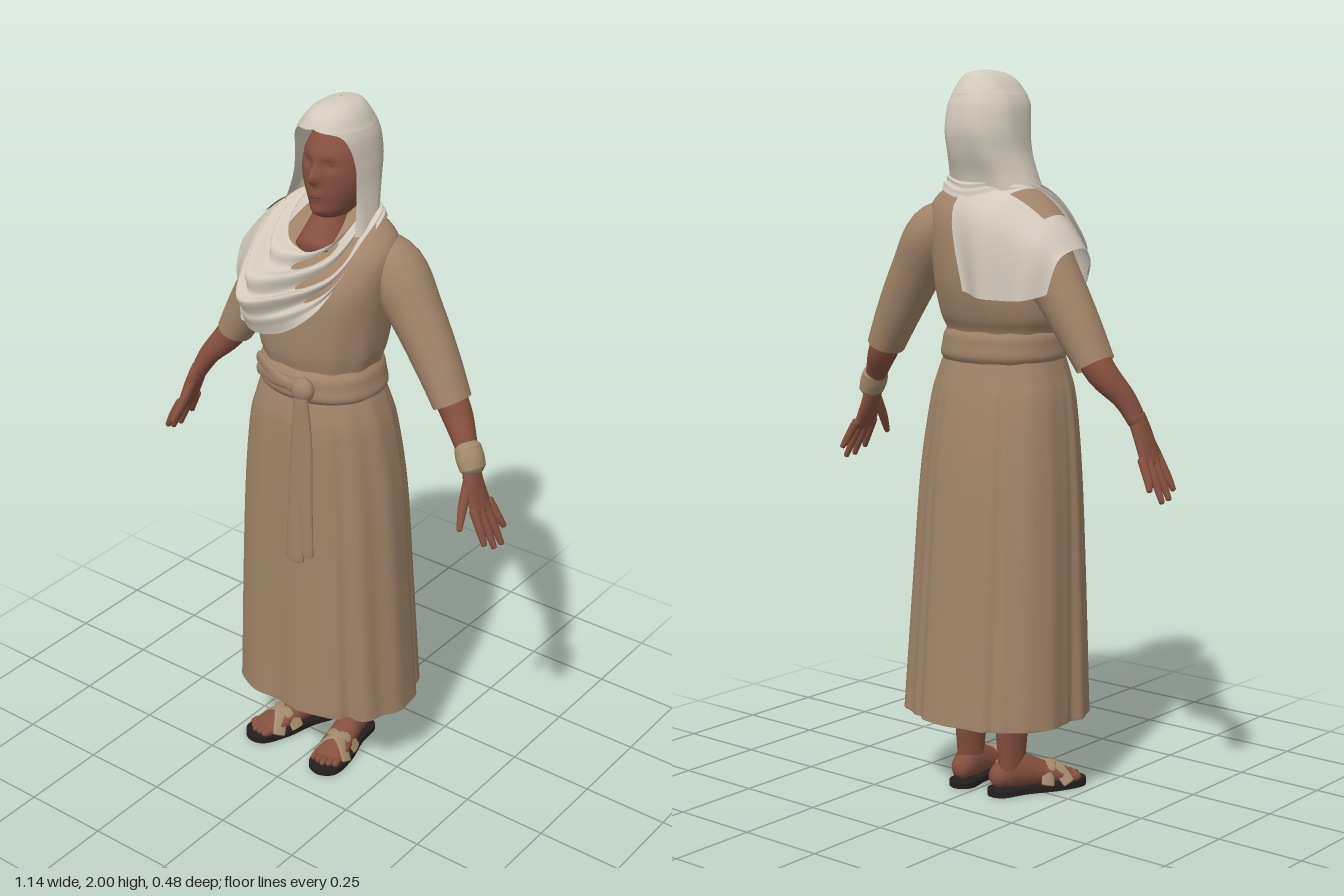
import * as THREE from 'three';

const mat = (name, color, side = THREE.FrontSide) => {
  const m = new THREE.MeshStandardMaterial({ color, side });
  m.name = name;
  return m;
};

// Catmull-Rom through rows of numbers
function spline(rows, t, closed = false) {
  const n = closed ? rows.length : rows.length - 1;
  const s = Math.min(t * n, n - 1e-6), i = Math.floor(s), f = s - i;
  const at = (k) => closed ? rows[(k + rows.length) % rows.length] : rows[Math.max(0, Math.min(n, k))];
  const [a, b, c, d] = [at(i - 1), at(i), at(i + 1), at(i + 2)];
  return b.map((_, k) => b[k] + 0.5 * f * (c[k] - a[k] +
    f * (2 * a[k] - 5 * b[k] + 4 * c[k] - d[k] + f * (3 * (b[k] - c[k]) + d[k] - a[k]))));
}

// Surface fn(u, v) -> [x, y, z]; wrap joins the u ends
function grid(nu, nv, fn, wrap = true) {
  const pos = [], idx = [], w = wrap ? nu : nu + 1;
  for (let j = 0; j <= nv; j++) for (let i = 0; i < w; i++) pos.push(...fn(i / nu, j / nv));
  for (let j = 0; j < nv; j++) for (let i = 0; i < nu; i++) {
    const a = j * w + i, b = j * w + (i + 1) % w;
    idx.push(a, b, a + w, b, b + w, a + w);
  }
  const g = new THREE.BufferGeometry();
  g.setAttribute('position', new THREE.Float32BufferAttribute(pos, 3));
  g.setIndex(idx);
  g.computeVertexNormals();
  return g;
}

const gauss = (d, s) => Math.exp(-((d / s) ** 2));

// Horizontal rounded slices [y, xMin, xMax, zMin, zMax, frontGap]
function body(rows, nv, fold = () => 0, open = false) {
  const pw = (c) => Math.sign(c) * Math.abs(c) ** 0.9;
  return grid(120, nv, (u, v) => {
    const [y, x0, x1, z0, z1, gap = 0] = spline(rows, v);
    const g = Math.max(0, gap), th = g + u * 2 * (Math.PI - g), k = 1 + fold(th, v);
    return [(x0 + x1) / 2 + k * pw(Math.sin(th)) * (x1 - x0) / 2, y,
      (z0 + z1) / 2 + k * pw(Math.cos(th)) * (z1 - z0) / 2];
  }, !open);
}

// Tapered tube through [x, y, z, ra, rb]; ra lies along the ref axis
function limb(rows, { ref = [0, 0, 1], nu = 16, nv = 14, cap = true } = {}) {
  const r = new THREE.Vector3(...ref), P = (t) => new THREE.Vector3(...spline(rows, t));
  const ends = cap ? 2 : 0, total = nv + 2 * ends;
  return grid(nu, total, (u, v) => {
    const j = Math.round(v * total) - ends, t = Math.max(0, Math.min(1, j / nv));
    const T = P(Math.min(1, t + 0.01)).sub(P(Math.max(0, t - 0.01))).normalize();
    const a = r.clone().addScaledVector(T, -r.dot(T)).normalize(), b = T.clone().cross(a);
    const [, , , ra, rb] = spline(rows, t), out = j < 0 ? -j : Math.max(0, j - nv);
    const k = [1, 0.7, 0.01][out], push = [0, 0.4, 0.6][out] * Math.min(ra, rb) * (j < 0 ? -1 : 1);
    const th = u * 2 * Math.PI;
    return P(t).addScaledVector(T, push).addScaledVector(a, k * ra * Math.cos(th))
      .addScaledVector(b, k * rb * Math.sin(th)).toArray();
  });
}

export function createModel() {
  const root = new THREE.Group();
  root.name = 'robedWoman';
  const dress = mat('dressTan', 0xa08468, THREE.DoubleSide);
  const scarf = mat('scarfCream', 0xd2c9bc, THREE.DoubleSide);
  const skin = mat('skinBrown', 0x85503e);
  const dark = mat('lipsDark', 0x6a3d31);
  const strap = mat('strapTan', 0xa48c6c);
  const sole = mat('soleBlack', 0x241f1f);
  const add = (name, geo, m, parent = root) => {
    const mesh = new THREE.Mesh(geo, m);
    mesh.name = name;
    parent.add(mesh);
    return mesh;
  };
  const ball = (x, y, z, rx, ry, rz) =>
    new THREE.SphereGeometry(1, 20, 14).scale(rx, ry, rz).translate(x, y, z);

  // Long skirt: soft folds, fuller at the front right, a few deep pleats
  add('skirt', body([
    [0.22, -0.255, 0.266, -0.237, 0.188], [0.26, -0.255, 0.264, -0.233, 0.188],
    [0.6, -0.242, 0.25, -0.203, 0.186], [0.9, -0.227, 0.235, -0.177, 0.183],
    [1.1, -0.205, 0.21, -0.15, 0.18], [1.18, -0.185, 0.19, -0.13, 0.172],
    [1.25, -0.165, 0.163, -0.11, 0.155]], 28,
  (th, v) => (1 - v * 0.7) * (0.017 * Math.sin(9 * th + 1.5 * v) + 0.014 * Math.sin(14 * th + 1)
    + 0.13 * gauss(th - 5.5, 0.42) - 0.04 * gauss(th - 2.3, 0.45))
    - 0.07 * (1 - v) * [0.7, 1.95, 2.75, 3.7, 4.9].reduce((s, c) => s + gauss(th - c, 0.07), 0)), dress);

  // Blouse gathered above the belt
  add('blouse', body([
    [1.2, -0.16, 0.16, -0.115, 0.15], [1.29, -0.168, 0.155, -0.118, 0.158],
    [1.34, -0.184, 0.166, -0.142, 0.167], [1.42, -0.18, 0.174, -0.162, 0.167],
    [1.52, -0.18, 0.183, -0.166, 0.156], [1.6, -0.18, 0.187, -0.158, 0.105],
    [1.65, -0.16, 0.167, -0.14, 0.045], [1.69, -0.105, 0.115, -0.115, 0.0],
    [1.73, -0.05, 0.05, -0.09, -0.01]], 30,
  (th, v) => 0.014 * Math.sin(11 * th) * Math.max(0, 1 - v * 1.8)), dress);

  // Belt, knot and hanging tails
  add('belt', body([
    [1.212, -0.168, 0.168, -0.12, 0.163], [1.23, -0.18, 0.178, -0.13, 0.176],
    [1.258, -0.178, 0.172, -0.129, 0.175], [1.285, -0.176, 0.166, -0.127, 0.173],
    [1.304, -0.166, 0.153, -0.118, 0.158]], 16), dress);
  add('beltKnot', ball(0.05, 1.262, 0.182, 0.034, 0.036, 0.026), dress);
  for (const [y0, y1] of [[1.25, 1.27], [1.285, 1.255]])
    add('beltFold', limb([[-0.14, y0, 0.13, 0.018, 0.008], [-0.05, (y0 + y1) / 2, 0.172, 0.018, 0.008],
      [0.05, y1, 0.184, 0.016, 0.01]], { ref: [0, 1, 0] }), dress);
  add('beltTailLong', limb([[0.05, 1.25, 0.192, 0.02, 0.012], [0.042, 1.12, 0.194, 0.022, 0.01],
    [0.032, 0.9, 0.194, 0.026, 0.01], [0.03, 0.735, 0.196, 0.03, 0.01]], { ref: [1, 0, 0] }), dress);
  add('beltTailShort', limb([[0.055, 1.25, 0.192, 0.018, 0.012], [0.066, 1.1, 0.19, 0.02, 0.01],
    [0.066, 0.92, 0.192, 0.022, 0.01], [0.066, 0.76, 0.192, 0.024, 0.01]], { ref: [1, 0, 0] }), dress);

  // Arms, hands, sleeves
  for (const s of [1, -1]) {
    const arm = new THREE.Group();
    arm.name = s > 0 ? 'leftArm' : 'rightArm';
    root.add(arm);
    const L = (rows, opt) => limb(rows.map(([x, ...r]) => [x * s, ...r]), opt);
    add('sleeve', L([[0.08, 1.61, -0.058, 0.06, 0.05], [0.165, 1.555, -0.064, 0.085, 0.082],
      [0.245, 1.445, -0.061, 0.073, 0.073], [0.313, 1.335, -0.056, 0.065, 0.063],
      [0.371, 1.232, -0.05, 0.06, 0.05]], { cap: false, nu: 28, nv: 20 }), dress, arm);
    add('forearm', L([[0.33, 1.3, -0.05, 0.046, 0.042], [0.385, 1.215, -0.045, 0.044, 0.042],
      [0.44, 1.145, -0.015, 0.034, 0.03], [0.472, 1.085, 0, 0.03, 0.022]]), skin, arm);
    add('palm', L([[0.468, 1.1, 0, 0.028, 0.022], [0.487, 1.045, 0.008, 0.038, 0.019],
      [0.515, 0.975, 0.008, 0.044, 0.013]]), skin, arm);
    for (let i = 0; i < 4; i++) {
      const z = 0.042 - 0.024 * i, tz = 0.052 - 0.034 * i, ty = [0.905, 0.885, 0.882, 0.915][i];
      add('finger', L([[0.51, 0.99, z, 0.013, 0.013], [0.537, 0.94, (z + tz) / 2, 0.012, 0.012],
        [0.566 - (ty - 0.88) * 0.5, ty, tz, 0.008, 0.008]], { nu: 10, nv: 8 }), skin, arm);
    }
    add('thumb', L([[0.478, 1.06, 0.025, 0.014, 0.014], [0.488, 1.0, 0.062, 0.013, 0.013],
      [0.5, 0.95, 0.092, 0.008, 0.008]], { nu: 10, nv: 8 }), skin, arm);
  }
  add('wristWrap', limb([[0.45, 1.14, -0.01, 0.04, 0.033], [0.463, 1.115, -0.004, 0.042, 0.036],
    [0.476, 1.088, 0, 0.04, 0.032]], { nu: 24 }), strap);

  // Legs, feet and sandals
  for (const [name, x, turn, lx] of [['left', 0.065, 0.13, 0.055], ['right', -0.117, -0.42, -0.094]]) {
    add(name + 'Leg', limb([[lx, 0.04, -0.055, 0.042, 0.03], [lx, 0.11, -0.055, 0.05, 0.031],
      [lx, 0.22, -0.052, 0.062, 0.036], [lx * 1.1, 0.45, -0.04, 0.065, 0.05],
      [lx * 1.2, 0.7, -0.02, 0.07, 0.06]]), skin);
    const foot = new THREE.Group();
    foot.name = name + 'Foot';
    foot.position.x = x;
    foot.rotation.y = turn;
    root.add(foot);
    const half = [[0.036, 0.11], [0.038, 0.03], [0.053, -0.07], [0.043, -0.15]];
    const outline = [[0, 0.132], ...half, [0, -0.172], ...half.map(([a, b]) => [-a, b]).reverse()];
    const shape = new THREE.Shape(new THREE.CatmullRomCurve3(
      outline.map(([a, b]) => new THREE.Vector3(a, b, 0)), true).getPoints(48)
      .slice(0, -1).map((p) => new THREE.Vector2(p.x, p.y)));
    add('sole', new THREE.ExtrudeGeometry(shape, { depth: 0.017, bevelEnabled: false })
      .rotateX(-Math.PI / 2), sole, foot);
    add('footBody', limb([[0, 0.045, -0.11, 0.026, 0.028], [0, 0.056, -0.09, 0.034, 0.038],
      [0, 0.065, -0.045, 0.037, 0.05], [0, 0.051, 0.02, 0.042, 0.036],
      [0, 0.036, 0.08, 0.048, 0.022], [0, 0.029, 0.118, 0.045, 0.014]], { ref: [1, 0, 0] }), skin, foot);
    for (let i = 0; i < 5; i++)
      add('toe', ball(-0.036 + i * 0.018, 0.027, 0.134 - Math.abs(i - 2) * 0.006, 0.01, 0.012, 0.022), skin, foot);
    for (const d of [1, -1])
      add('crossStrap', limb([[-0.05 * d, 0.022, 0.03, 0.02, 0.005], [-0.025 * d, 0.069, 0.045, 0.02, 0.005],
        [0.02 * d, 0.064, 0.07, 0.02, 0.005], [0.053 * d, 0.02, 0.095, 0.02, 0.005]]), strap, foot);
  }

  // Head shaped from a sphere: jaw, nose, chin, brow and eye sockets
  const head = new THREE.SphereGeometry(1, 56, 44);
  const p = head.attributes.position;
  for (let i = 0; i < p.count; i++) {
    const ny = p.getY(i), y = 1.815 + ny * 0.135;
    const x = p.getX(i) * 0.09 * (1 - 0.12 * Math.max(0, -ny));
    const bump = (x0, y0, sx, sy, h) => h * gauss(x - x0, sx) * gauss(y - y0, sy);
    let z = -0.022 + p.getZ(i) * 0.09;
    if (p.getZ(i) > 0) z += bump(0, 1.815, 0.014, 0.018, 0.028) + bump(0, 1.84, 0.01, 0.025, 0.012)
      + bump(0, 1.715, 0.045, 0.028, 0.03) + bump(0, 1.765, 0.035, 0.025, 0.016)
      + bump(0, 1.875, 0.06, 0.014, 0.006)
      - bump(0.034, 1.848, 0.018, 0.012, 0.01) - bump(-0.034, 1.848, 0.018, 0.012, 0.01);
    p.setXYZ(i, x + 0.007, y, z);
  }
  head.computeVertexNormals();
  add('head', head, skin);
  add('lips', ball(0.007, 1.765, 0.074, 0.022, 0.004, 0.008), dark);
  for (const s of [1, -1]) add('eye', ball(0.007 + s * 0.034, 1.848, 0.042, 0.013, 0.004, 0.008), dark);
  add('neck', limb([[0, 1.76, -0.035, 0.05, 0.052], [0, 1.68, -0.012, 0.052, 0.054],
    [0, 1.6, 0.04, 0.07, 0.07]]), skin);

  // Head covering, open around the face
  add('hood', body([
    [1.66, -0.168, 0.122, -0.125, 0.07, 1.0], [1.72, -0.145, 0.112, -0.136, 0.06, 1.05],
    [1.78, -0.125, 0.105, -0.158, 0.062, 1.08], [1.84, -0.117, 0.103, -0.17, 0.066, 1.08],
    [1.9, -0.108, 0.098, -0.162, 0.074, 0.98], [1.93, -0.096, 0.09, -0.15, 0.07, 0.72],
    [1.942, -0.088, 0.084, -0.145, 0.066, 0],
    [1.972, -0.066, 0.068, -0.125, 0.045, 0], [1.992, -0.038, 0.044, -0.105, 0.01, 0],
    [2.0, -0.002, 0.002, -0.05, -0.046, 0]], 48,
  (th, v) => 0.018 * Math.sin(7 * th + 6 * v) * (1 - v), true), scarf);

  // Draped cowl: loops from neck opening to outer edge, starting at the nape
  const loops = [
    [[0, 1.73, -0.1], [0.08, 1.73, -0.05], [0.08, 1.685, 0.01], [0.055, 1.64, 0.07],
      [0, 1.615, 0.092], [-0.07, 1.635, 0.09], [-0.1, 1.685, 0.03], [-0.09, 1.73, -0.05]],
    [[0, 1.7, -0.138], [0.112, 1.71, -0.08], [0.122, 1.65, 0.02], [0.09, 1.56, 0.122],
      [-0.035, 1.51, 0.195], [-0.125, 1.525, 0.215], [-0.155, 1.655, 0.06], [-0.13, 1.71, -0.07]],
    [[0, 1.66, -0.15], [0.115, 1.68, -0.1], [0.122, 1.61, 0.055], [0.08, 1.49, 0.162],
      [-0.04, 1.4, 0.182], [-0.14, 1.42, 0.19], [-0.19, 1.6, 0.07], [-0.15, 1.69, -0.08]]];
  add('cowl', grid(80, 44, (u, v) => {
    const [x, y, z] = spline(loops.map((l) => spline(l, u, true)), v);
    const front = Math.sin(Math.PI * u) ** 2;
    const k = 0.013 * (0.2 + front) * Math.sin(v * 26 + 2.5 * Math.sin(2 * Math.PI * u)) * Math.sin(Math.PI * Math.min(1, v + 0.15));
    const r = Math.hypot(x, z) || 1;
    return [x + k * x / r, y + k * 0.6, z + k * z / r];
  }), scarf);

  // Shawl end over the right shoulder and down the back
  const shawlRows = [
    [[-0.08, 1.43, 0.18], [-0.1, 1.61, 0.11], [-0.06, 1.715, -0.06], [0.02, 1.64, -0.165], [-0.025, 1.415, -0.183]],
    [[-0.15, 1.4, 0.175], [-0.17, 1.55, 0.13], [-0.18, 1.677, -0.05], [-0.11, 1.6, -0.178], [-0.11, 1.4, -0.197]],
    [[-0.2, 1.415, 0.13], [-0.25, 1.51, 0.075], [-0.265, 1.605, -0.05], [-0.24, 1.55, -0.155], [-0.22, 1.4, -0.18]],
    [[-0.245, 1.455, 0.08], [-0.29, 1.5, 0.03], [-0.318, 1.535, -0.04], [-0.31, 1.51, -0.13], [-0.29, 1.42, -0.155]]];
  const shawl = (u, v) => {
    const [x, y, z] = spline(shawlRows.map((r) => spline(r, v)), u);
    return [x, y, z + 0.006 * Math.sin(u * 16) * Math.abs(v - 0.5) * 2];
  };
  add('shawl', grid(36, 36, shawl, false), scarf);
  add('shoulderPatch', grid(8, 8, (u, v) => {
    const [x, y, z] = shawl(0.3 + 0.32 * u, 0.49 + 0.12 * v - 0.03 * u * (1 - v));
    return [x, y + 0.005, z - 0.004 * v];
  }, false), dress);
  return root;
}
